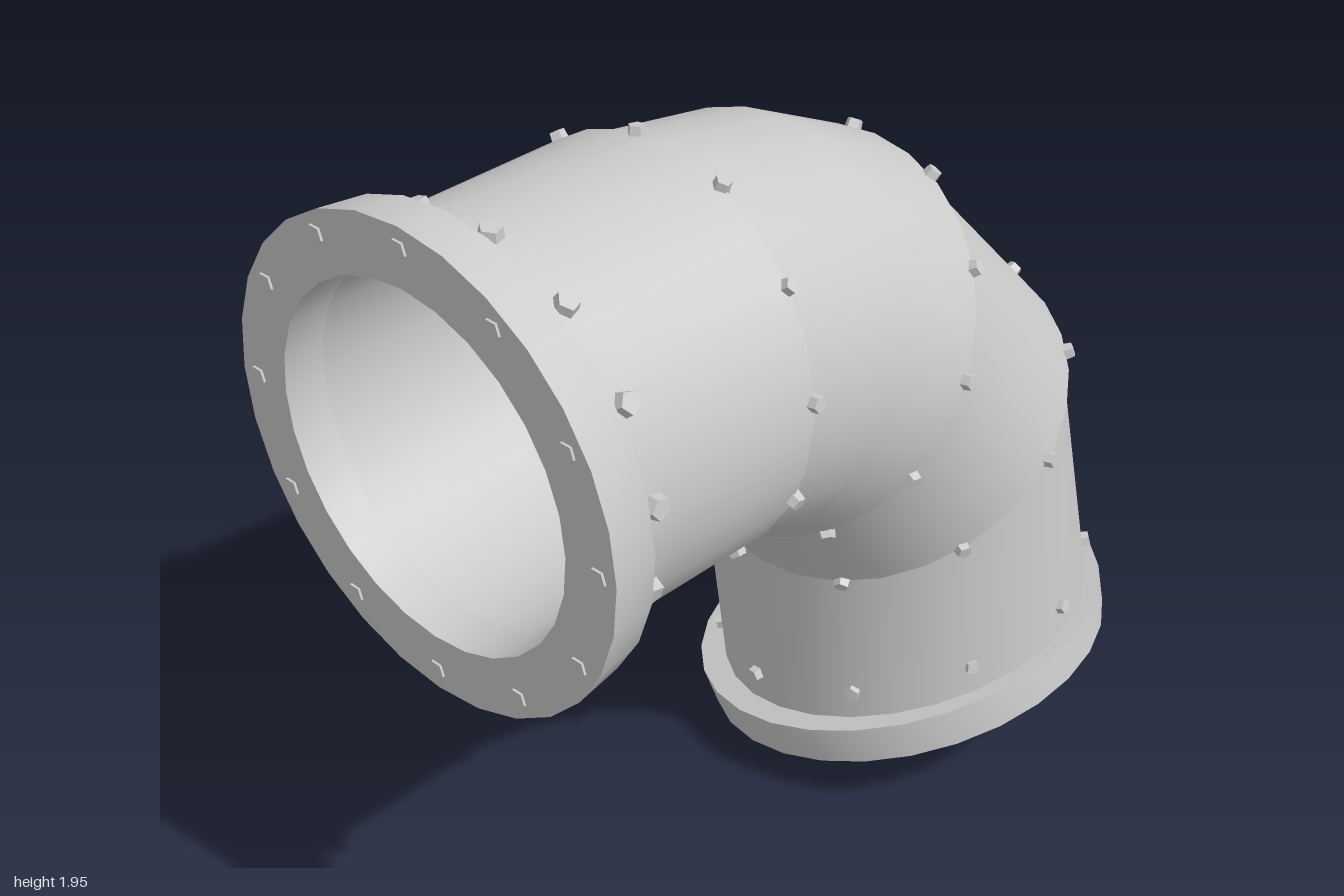
import * as THREE from 'three';
import { toCreasedNormals } from 'three/addons/utils/BufferGeometryUtils.js';

const V = (x, y, z) => new THREE.Vector3(x, y, z);
const SIDES = 28;
const material = new THREE.MeshStandardMaterial({ color: 0xcccccc });
const boltMaterial = new THREE.MeshStandardMaterial({ color: 0xcccccc, flatShading: true });
const linerMaterial = new THREE.MeshStandardMaterial({ color: 0xcccccc, side: THREE.DoubleSide });

// Cross-section frame: centre, travel direction n, side axis u, outer-bend axis v
function section(center, n) {
  n.normalize();
  const u = V(1, 0, 0).addScaledVector(n, -n.x).normalize();
  return { center, n, u, v: u.clone().cross(n) };
}

const radial = (s, a) => s.u.clone().multiplyScalar(Math.cos(a)).addScaledVector(s.v, Math.sin(a));

// Tube skin through a list of [section, radius]
function loft(rings) {
  const pos = [], index = [];
  rings.forEach(([s, r], i) => {
    for (let j = 0; j < SIDES; j++) {
      const p = radial(s, (j / SIDES) * Math.PI * 2).multiplyScalar(r).add(s.center);
      pos.push(p.x, p.y, p.z);
      if (i === rings.length - 1) continue;
      const k = (j + 1) % SIDES, a = i * SIDES + j, b = i * SIDES + k;
      index.push(a, a + SIDES, b, b, a + SIDES, b + SIDES);
    }
  });
  const g = new THREE.BufferGeometry();
  g.setAttribute('position', new THREE.Float32BufferAttribute(pos, 3));
  g.setIndex(index);
  g.computeVertexNormals();
  return g;
}

function bolt(name, position, direction, size, height) {
  const m = new THREE.Mesh(new THREE.CylinderGeometry(size * 0.8, size, height, 5), boltMaterial);
  m.name = name;
  m.position.copy(position);
  m.quaternion.setFromUnitVectors(V(0, 1, 0), direction);
  return m;
}

// Flange ring standing on its back plane, face pointing along dir, with bolts in the face
function flange(name, center, dir, o) {
  const group = new THREE.Group();
  group.name = name;
  const profile = [[o.bore, 0], [o.back, 0], [o.face, o.depth], [o.bore, o.depth], [o.bore, 0]]
    .map(([r, y]) => new THREE.Vector2(r, y));
  const ring = new THREE.Mesh(toCreasedNormals(new THREE.LatheGeometry(profile, SIDES), 0.6), material);
  ring.name = name + 'Ring';
  group.add(ring);
  for (let i = 0; i < o.bolts; i++) {
    const a = (i / o.bolts) * Math.PI * 2;
    const p = V(Math.sin(a) * o.boltRadius, o.depth - 0.01, Math.cos(a) * o.boltRadius);
    group.add(bolt('flangeBolt', p, V(0, 1, 0), 0.027, 0.03));
  }
  group.position.copy(center);
  group.quaternion.setFromUnitVectors(V(0, 1, 0), dir.clone().normalize());
  return group;
}

export function createModel() {
  const model = new THREE.Group();
  model.name = 'pipeElbow';

  const downAxis = V(0.26, -1, -0.1).normalize();
  const mouth = section(V(0, 1.41, 0.9), V(0, 0, -1));
  const collar = section(V(0, 1.413, 0.74), V(0, 0, -1));
  const front = section(V(0, 1.405, 0.37), V(0, -0.09, -0.91));
  const bend = section(V(0, 1.35, 0.13), V(0, -0.34, -0.86));
  const middle = section(V(0, 1.235, -0.085), V(0, -0.5, -0.75));
  const lower = section(V(0, 0.88, -0.38), V(0, -0.8, -0.46));
  const base = section(V(0.025, 0.24, -0.475), downAxis.clone());

  // Outer pipe sections, each sleeve slightly overlapping the next
  const pipes = {
    frontPipe: [[mouth, 0.48], [collar, 0.463], [front, 0.464]],
    upperBend: [[front, 0.452], [bend, 0.462], [middle, 0.466]],
    lowerBend: [[middle, 0.452], [lower, 0.466]],
    lowerPipe: [[lower, 0.454], [base, 0.465]],
  };
  for (const [name, rings] of Object.entries(pipes)) {
    const m = new THREE.Mesh(loft(rings), material);
    m.name = name;
    model.add(m);
  }

  // Inner wall of the bore
  const liner = new THREE.Mesh(
    loft([mouth, front, bend, middle, lower, base].map((s) => [s, 0.405])), linerMaterial);
  liner.name = 'innerWall';
  model.add(liner);

  // End flanges
  model.add(flange('frontFlange', V(0, 1.408, 0.88), V(0, 0, 1),
    { bore: 0.41, back: 0.53, face: 0.545, depth: 0.115, bolts: 12, boltRadius: 0.497 }));
  model.add(flange('bottomFlange', V(0.04, 0.14, -0.475).addScaledVector(downAxis, -0.1), downAxis,
    { bore: 0.395, back: 0.515, face: 0.505, depth: 0.1, bolts: 10, boltRadius: 0.455 }));

  // Rivet rows around the seams
  const rows = [
    [section(V(0, 1.41, 0.82), V(0, 0, -1)), 0.475, 14, 0.03],
    [front, 0.463, 12, 0.022],
    [middle, 0.465, 12, 0.022],
    [lower, 0.465, 10, 0.022],
    [section(V(0.02, 0.32, -0.47), downAxis.clone()), 0.462, 10, 0.022],
  ];
  for (const [s, r, count, size] of rows) {
    for (let i = 0; i < count; i++) {
      const d = radial(s, ((i + 0.25) / count) * Math.PI * 2);
      model.add(bolt('rivet', d.clone().multiplyScalar(r).add(s.center), d, size, 0.035));
    }
  }
  return model;
}
